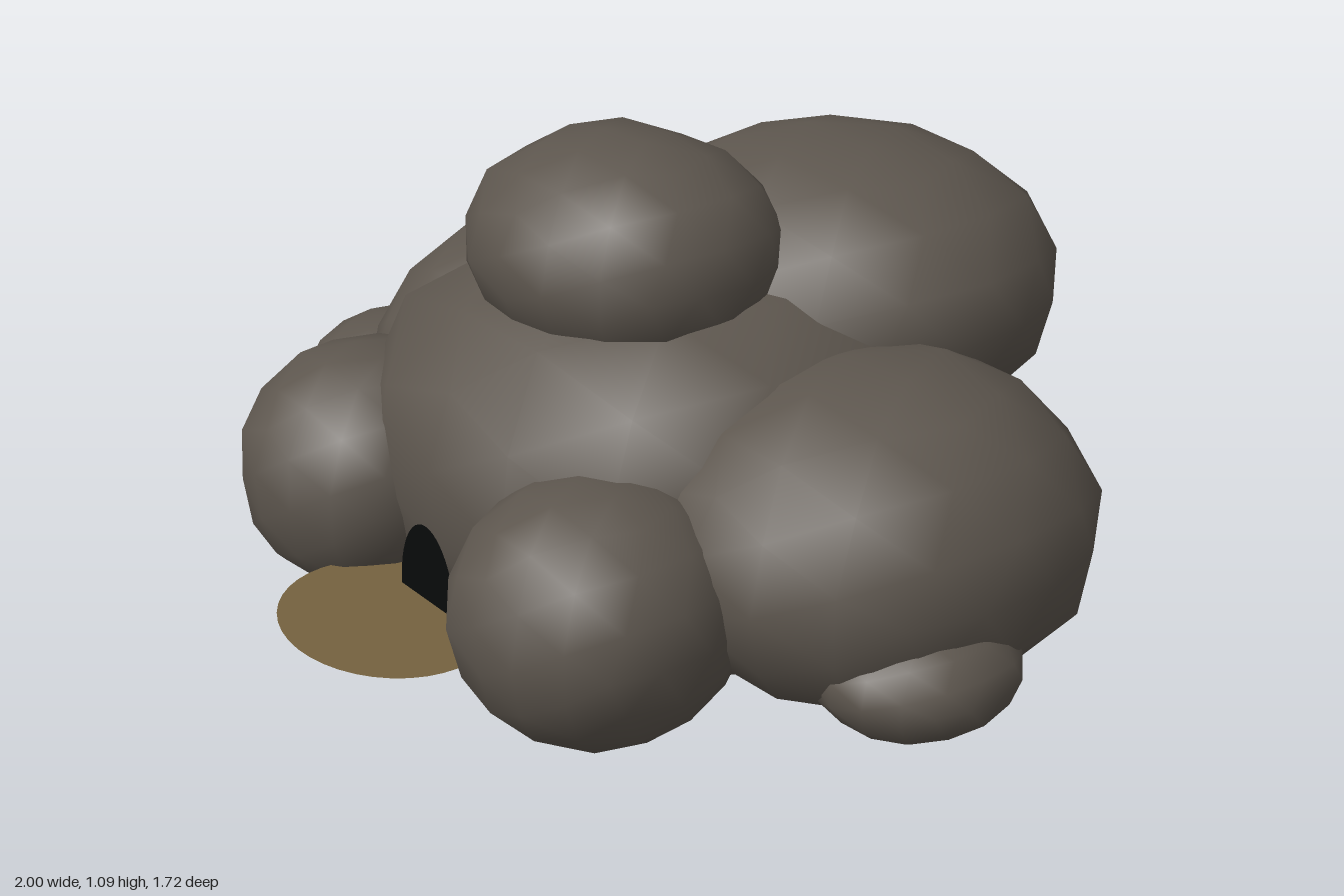
import * as THREE from 'three';
import { mergeVertices } from 'three/addons/utils/BufferGeometryUtils.js';

// Small seeded generator so every boulder gets its own repeatable bumps
function seeded(seed) {
  let s = seed * 7919 + 17;
  return () => ((s = (s * 16807) % 2147483647) / 2147483647);
}

// Coarse, smooth-shaded boulder; a power above 2 makes it blockier than an ellipsoid
function boulderGeometry(radii, power, seed) {
  let geo = new THREE.IcosahedronGeometry(1, 2);
  geo.deleteAttribute('uv');
  geo.deleteAttribute('normal');
  geo = mergeVertices(geo, 1e-4);
  const random = seeded(seed);
  const pos = geo.attributes.position;
  for (let i = 0; i < pos.count; i++) {
    const p = [pos.getX(i), pos.getY(i), pos.getZ(i)];
    const sum = p.reduce((total, c) => total + Math.abs(c) ** power, 0);
    const r = sum ** (-1 / power) * (1.01 + 0.05 * (random() - 0.5));
    pos.setXYZ(i, ...p.map((c, k) => c * r * radii[k]));
  }
  geo.computeVertexNormals();
  return geo;
}

export function createModel() {
  const group = new THREE.Group();
  const rock = new THREE.MeshStandardMaterial({ color: 0x5d564e });
  const dark = new THREE.MeshStandardMaterial({ color: 0x080a0a, side: THREE.DoubleSide });
  const dirt = new THREE.MeshStandardMaterial({ color: 0x75623f, side: THREE.DoubleSide });

  // Boulders: name, centre, radii, blockiness
  const boulders = [
    ['coreBoulder', [0, 0.425, -0.04], [0.56, 0.415, 0.58], 2.6],
    ['rearBoulder', [0.07, 0.71, -0.42], [0.46, 0.3, 0.44], 2.1],
    ['topBoulder', [-0.01, 0.86, 0.07], [0.32, 0.225, 0.295], 2.2],
    ['leftBoulder', [0.55, 0.43, -0.09], [0.41, 0.32, 0.45], 2.1],
    ['rightBoulder', [-0.52, 0.39, -0.14], [0.37, 0.335, 0.43], 2.1],
    ['frontLeftBoulder', [0.385, 0.355, 0.44], [0.265, 0.25, 0.275], 2.2],
    ['frontRightBoulder', [-0.385, 0.355, 0.44], [0.26, 0.255, 0.275], 2.2],
    ['leftSmallBoulder', [0.8, 0.28, 0.03], [0.195, 0.125, 0.2], 2.1],
    ['rightSmallBoulder', [-0.78, 0.295, 0.12], [0.22, 0.165, 0.22], 2.1],
  ];
  boulders.forEach(([name, centre, radii, power], i) => {
    const mesh = new THREE.Mesh(boulderGeometry(radii, power, i + 1), rock);
    mesh.name = name;
    mesh.position.set(...centre);
    group.add(mesh);
  });

  // Cave mouth: flat dark arch
  const mouth = new THREE.Mesh(new THREE.CircleGeometry(1, 24, 0, Math.PI), dark);
  mouth.name = 'caveMouth';
  mouth.scale.set(0.095, 0.165, 1);
  mouth.position.set(0, 0.235, 0.565);
  group.add(mouth);

  // Trodden ground patch in front of the cave
  const patch = new THREE.Mesh(new THREE.CircleGeometry(1, 40), dirt);
  patch.name = 'groundPatch';
  patch.rotation.x = -Math.PI / 2;
  patch.scale.set(0.245, 0.2, 1);
  patch.position.set(0, 0.235, 0.66);
  group.add(patch);

  return group;
}
